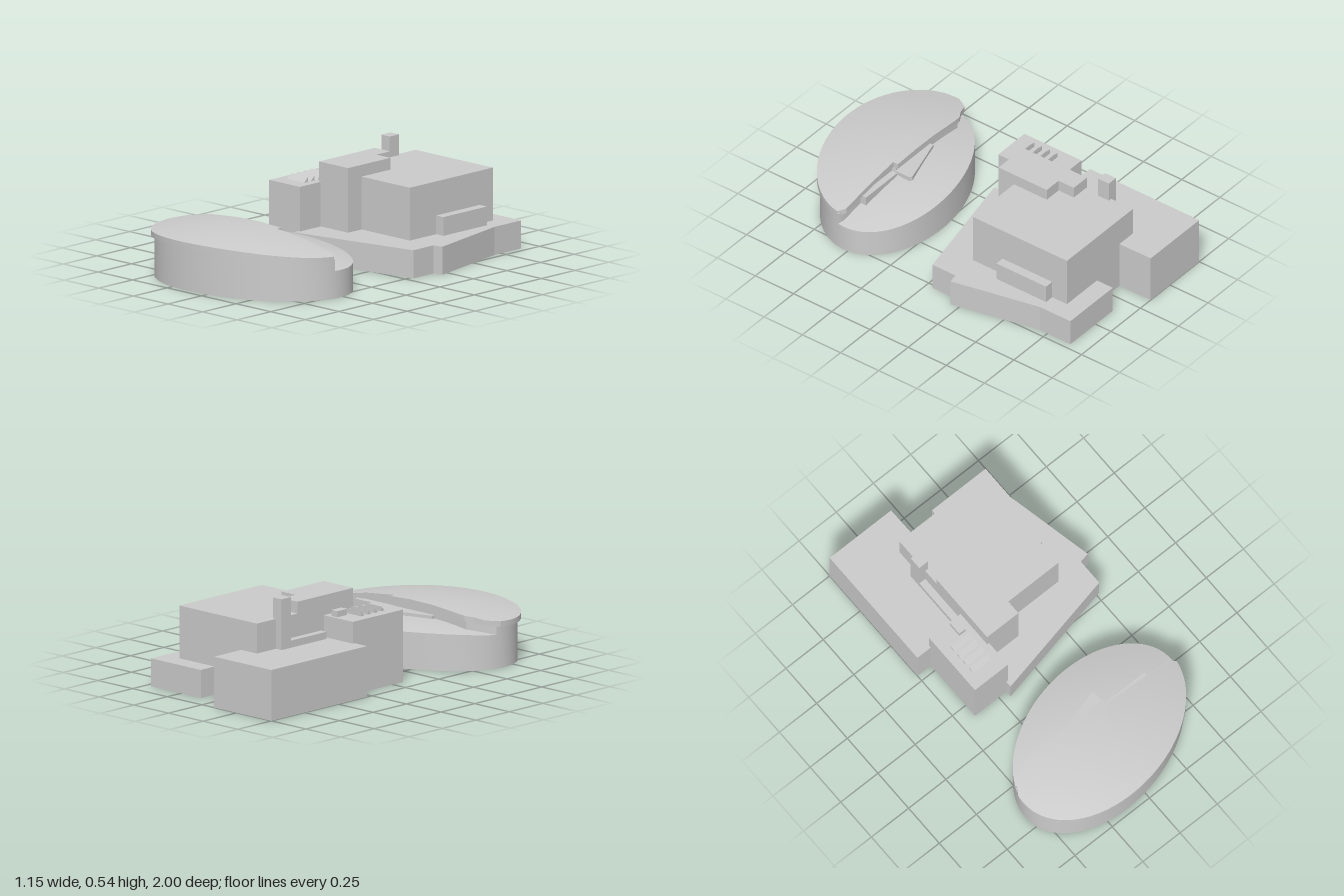
import * as THREE from 'three';
import { toCreasedNormals } from 'three/addons/utils/BufferGeometryUtils.js';

const grey = new THREE.MeshStandardMaterial({ color: 0xcccccc });

// Curved roof heights
const domeY = (x, z) => 0.302 - 0.196 * (x + 0.09) ** 2 - 0.18 * (z - 0.55) ** 2;
const lowRoofY = (x, z) => 0.225 - 0.196 * (x + 0.09) ** 2 - 0.35 * (z - 0.55) ** 2;

// Points along a skewed ellipse, running from +x towards +z
function arc(cx, cz, rx, skew, rz, from, to, count) {
  const pts = [];
  for (let i = 0; i < count; i++) {
    const t = from + ((to - from) * i) / (count - 1);
    pts.push([cx + rx * Math.cos(t), cz + skew * Math.cos(t) + rz * Math.sin(t)]);
  }
  return pts;
}

// Closed solid from a plan outline with height functions for top and bottom
function curvedSolid(outline, centre, top, bottom, rings = 10) {
  const pos = [];
  const at = (i, s, height) => {
    const p = outline[i % outline.length];
    const x = centre[0] + (p[0] - centre[0]) * s;
    const z = centre[1] + (p[1] - centre[1]) * s;
    return [x, height(x, z), z];
  };
  const tri = (a, b, c) => pos.push(...a, ...b, ...c);
  for (let i = 0; i < outline.length; i++) {
    for (let r = 0; r < rings; r++) {
      const s0 = r / rings, s1 = (r + 1) / rings;
      for (const [h, up] of [[top, true], [bottom, false]]) {
        const a = at(i, s0, h), b = at(i + 1, s0, h), c = at(i + 1, s1, h), d = at(i, s1, h);
        if (up) tri(a, c, d); else tri(a, d, c);
        if (r > 0) { if (up) tri(a, b, c); else tri(a, c, b); }
      }
    }
    const aB = at(i, 1, bottom), aT = at(i, 1, top), bT = at(i + 1, 1, top), bB = at(i + 1, 1, bottom);
    tri(aB, aT, bT);
    tri(aB, bT, bB);
  }
  const geo = new THREE.BufferGeometry();
  geo.setAttribute('position', new THREE.Float32BufferAttribute(pos, 3));
  return toCreasedNormals(geo, 0.4);
}

// Flat-topped block from a plan outline of [x, z] points
function prism(points, y0, y1) {
  const shape = new THREE.Shape(points.map(([x, z]) => new THREE.Vector2(x, -z)));
  const geo = new THREE.ExtrudeGeometry(shape, { depth: y1 - y0, bevelEnabled: false });
  return geo.rotateX(-Math.PI / 2).translate(0, y0, 0);
}

function block(x0, x1, y0, y1, z0, z1) {
  return new THREE.BoxGeometry(x1 - x0, y1 - y0, z1 - z0)
    .translate((x0 + x1) / 2, (y0 + y1) / 2, (z0 + z1) / 2);
}

function add(group, name, geometry) {
  const mesh = new THREE.Mesh(geometry, grey);
  mesh.name = name;
  group.add(mesh);
}

function createOvalHall() {
  const hall = new THREE.Group();
  hall.name = 'ovalHall';
  const ground = () => 0;
  const centre = [0, 0.72];

  // Full oval drum with the low rear roof
  const drum = arc(-0.012, 0.6, 0.553, -0.074, 0.365, 0, Math.PI * 2, 97).slice(0, -1);
  add(hall, 'lowRearDrum', curvedSolid(drum, [-0.012, 0.6], lowRoofY, ground));

  // Taller front part under the main roof
  const front = [
    ...arc(-0.012, 0.6, 0.553, -0.074, 0.365, 0.1, Math.PI + 0.15, 60),
    [-0.43, 0.53], [-0.17, 0.53], [0.09, 0.53], [0.1, 0.55], [0.3, 0.55], [0.5, 0.55],
  ];
  add(hall, 'frontWall', curvedSolid(front, centre, (x, z) => domeY(x, z) - 0.015, ground));

  // Overhanging domed roof slab, cut off along the rear
  const roof = [
    ...arc(-0.02, 0.6, 0.56, -0.071, 0.394, 0.1, Math.PI + 0.1, 60),
    [-0.55, 0.585], [-0.53, 0.56], [-0.48, 0.545], [-0.43, 0.515], [-0.38, 0.51],
    [-0.2, 0.51], [-0.05, 0.51], [0.1, 0.51], [0.1, 0.54], [0.3, 0.54], [0.5, 0.54],
  ];
  add(hall, 'domedRoof', curvedSolid(roof, centre, domeY, (x, z) => domeY(x, z) - 0.03));

  // Small rear projections on the low roof
  add(hall, 'rearWedge', prism([[-0.2, 0.51], [-0.2, 0.535], [0.095, 0.535], [0.095, 0.44], [0.08, 0.43]], 0.1, 0.24));
  add(hall, 'rearBay', block(0.1, 0.365, 0.1, 0.235, 0.515, 0.56));
  return hall;
}

function createBlockBuilding() {
  const building = new THREE.Group();
  building.name = 'blockBuilding';

  add(building, 'podium', prism([
    [-0.2, 0.11], [0.52, -0.04], [0.52, -0.19], [0.575, -0.2], [0.465, -0.7],
    [0.465, -0.9], [0.105, -0.9], [0.105, -0.79], [-0.2, -0.79],
  ], 0, 0.15));
  add(building, 'mainBlock', block(-0.2, 0.36, 0, 0.432, -0.797, -0.18));
  add(building, 'upperBlock', prism([
    [-0.2, -0.08], [0.01, -0.08], [0.01, -0.395], [-0.09, -0.395], [-0.09, -0.495], [-0.2, -0.495],
  ], 0.1, 0.495));
  add(building, 'sideLedge', block(0.35, 0.412, 0.1, 0.25, -0.7, -0.375));
  add(building, 'rearWing', prism([
    [-0.5, -1], [-0.088, -1], [-0.085, -0.79], [-0.15, -0.79], [-0.15, -0.285], [-0.5, -0.285],
  ], 0, 0.272));
  add(building, 'chimney', block(-0.24, -0.18, 0.2, 0.543, -0.655, -0.585));
  add(building, 'chimneyLedge', block(-0.24, -0.19, 0.2, 0.31, -0.585, -0.32));
  add(building, 'annex', block(-0.41, -0.188, 0, 0.388, -0.298, 0.075));
  add(building, 'roofBox', block(-0.282, -0.24, 0.38, 0.42, -0.282, -0.208));

  // Row of sloping skylights: upright at the rear, falling to the front
  const profile = new THREE.Shape([[0, 0], [0.028, 0], [0, 0.027]].map(([z, y]) => new THREE.Vector2(-z, y)));
  for (let i = 0; i < 4; i++) {
    const skylight = new THREE.ExtrudeGeometry(profile, { depth: 0.122, bevelEnabled: false });
    skylight.rotateY(Math.PI / 2).translate(-0.357, 0.387, -0.182 + i * 0.05);
    add(building, 'skylight' + (i + 1), skylight);
  }
  return building;
}

export function createModel() {
  const model = new THREE.Group();
  model.name = 'buildingComplex';
  model.add(createOvalHall(), createBlockBuilding());
  return model;
}
